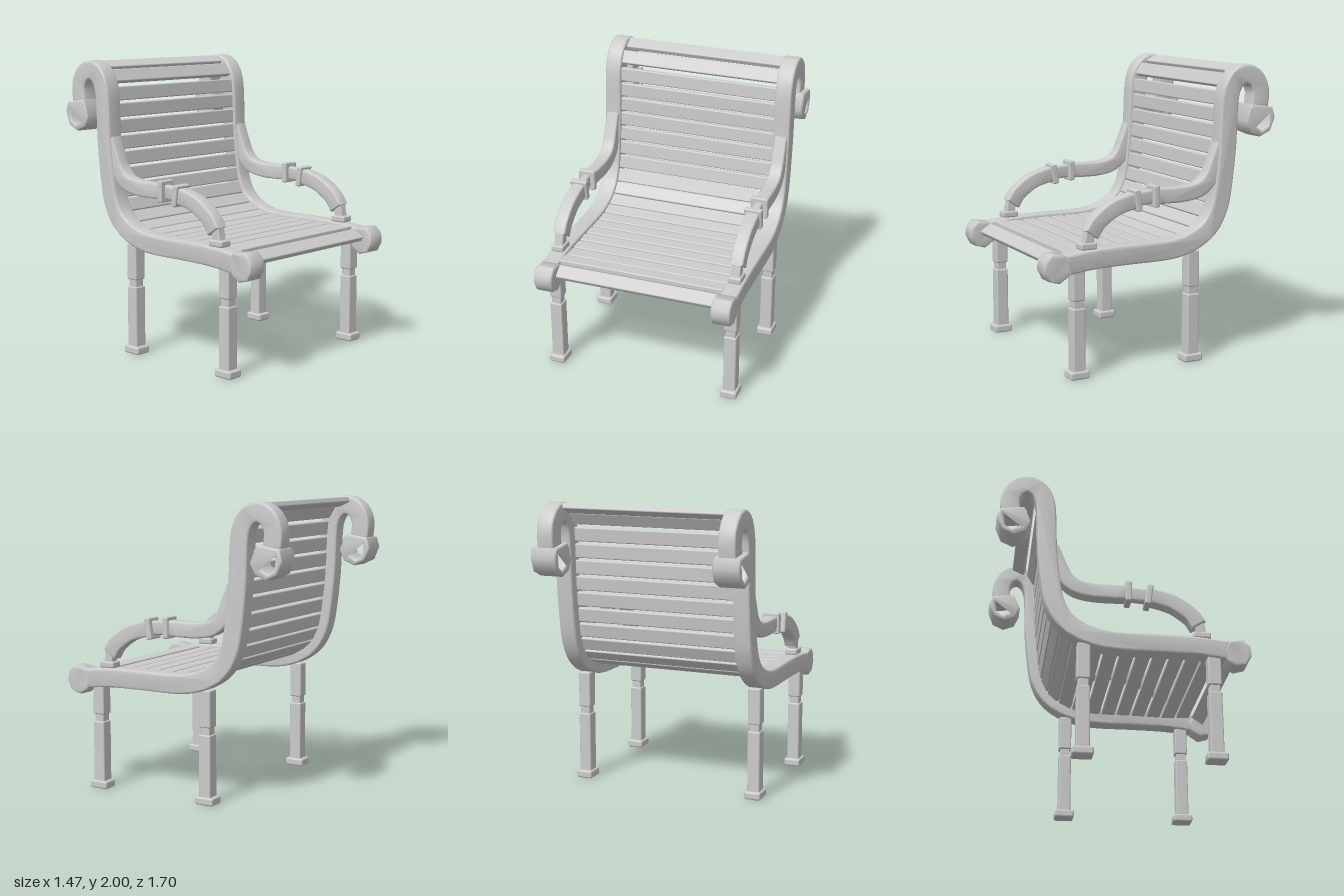
import * as THREE from 'three';
import { toCreasedNormals } from 'three/addons/utils/BufferGeometryUtils.js';
import { RoundedBoxGeometry } from 'three/addons/geometries/RoundedBoxGeometry.js';

const material = new THREE.MeshStandardMaterial({ color: 0xcccccc });
const SIDE_X = 0.636; // centre of each side frame

// Side profiles are written as [z, y] pairs.
const toVectors = (pairs) => pairs.map(([z, y]) => new THREE.Vector2(z, y));

// Extrudes a side-profile shape across x, centred, with rounded edges.
function extrudeAcross(shape, width, bevel, crease) {
  const geo = new THREE.ExtrudeGeometry(shape, {
    depth: width - 2 * bevel, steps: 1, curveSegments: 6,
    bevelSize: bevel, bevelThickness: bevel, bevelOffset: -bevel, bevelSegments: 3,
  });
  geo.translate(0, 0, bevel - width / 2);
  geo.rotateY(-Math.PI / 2);
  return toCreasedNormals(geo, crease);
}

// A bar of even thickness that follows a smooth path in the side plane.
function bentBar(pairs, thickness, width, divisions) {
  const curve = new THREE.SplineCurve(toVectors(pairs));
  const upper = [], lower = [];
  for (let i = 0; i <= divisions; i++) {
    const p = curve.getPointAt(i / divisions);
    const t = curve.getTangentAt(i / divisions);
    const n = new THREE.Vector2(t.y, -t.x).multiplyScalar(thickness / 2);
    upper.push(p.clone().add(n));
    lower.unshift(p.clone().sub(n));
  }
  return extrudeAcross(new THREE.Shape([...upper, ...lower]), width, 0.014, 0.6);
}

// A faceted ring with a hole, used for the scroll ends.
function scroll(outer, hole, width) {
  const shape = new THREE.Shape(toVectors(outer));
  shape.holes.push(new THREE.Path(toVectors(hole)));
  return extrudeAcross(shape, width, 0.015, 0.95);
}

function block(w, h, d, r) {
  return new RoundedBoxGeometry(w, h, d, 2, r);
}

function addPart(parent, name, geometry, x, y, z, tilt = 0) {
  const mesh = new THREE.Mesh(geometry, material);
  mesh.name = name;
  mesh.position.set(x, y, z);
  mesh.rotation.x = tilt;
  parent.add(mesh);
}

const railPath = [
  [0.69, 0.765], [0.5, 0.785], [0.25, 0.79], [0, 0.79], [-0.14, 0.803], [-0.27, 0.845],
  [-0.38, 0.925], [-0.445, 1.04], [-0.476, 1.18], [-0.505, 1.445], [-0.516, 1.71],
  [-0.53, 1.82], [-0.572, 1.9], [-0.645, 1.935], [-0.722, 1.902], [-0.762, 1.82], [-0.755, 1.71],
];

function buildSideGeometries() {
  return {
    rail: bentBar(railPath, 0.13, 0.118, 90),
    frontScroll: scroll(
      [[0.795, 0.847], [0.704, 0.832], [0.661, 0.773], [0.677, 0.693],
        [0.741, 0.651], [0.815, 0.672], [0.848, 0.736], [0.842, 0.8]],
      [[0.8, 0.8], [0.72, 0.805], [0.7, 0.745], [0.73, 0.693], [0.79, 0.688], [0.82, 0.745]], 0.135),
    backScroll: scroll(
      [[-0.667, 1.733], [-0.83, 1.71], [-0.852, 1.64], [-0.815, 1.55],
        [-0.735, 1.513], [-0.656, 1.545], [-0.619, 1.62]],
      [[-0.667, 1.688], [-0.805, 1.668], [-0.795, 1.587], [-0.75, 1.556], [-0.682, 1.592]], 0.188),
    armFront: bentBar([[0.505, 0.945], [0.455, 1.02], [0.35, 1.095], [0.255, 1.128], [0.165, 1.147]], 0.108, 0.092, 18),
    armNeck: bentBar([[0.175, 1.146], [0.1, 1.153], [0.03, 1.158]], 0.095, 0.055, 4),
    armBack: bentBar([[0.04, 1.158], [-0.08, 1.155], [-0.2, 1.158], [-0.31, 1.183],
      [-0.385, 1.25], [-0.432, 1.35], [-0.48, 1.47]], 0.104, 0.092, 30),
    collar: block(0.122, 0.145, 0.042, 0.01),
    armPost: block(0.062, 0.1, 0.066, 0.01),
    armBase: block(0.09, 0.045, 0.116, 0.012),
    foot: block(0.116, 0.055, 0.137, 0.014),
    legShaft: block(0.088, 0.43, 0.088, 0.01),
    legNeck: block(0.07, 0.1, 0.07, 0.008),
    legTop: block(0.088, 0.25, 0.088, 0.01),
  };
}

function buildLeg(name, g, x, z) {
  const leg = new THREE.Group();
  leg.name = name;
  addPart(leg, 'foot', g.foot, 0, 0.0275, 0);
  addPart(leg, 'legShaft', g.legShaft, 0, 0.257, 0);
  addPart(leg, 'legNeck', g.legNeck, 0, 0.495, 0);
  addPart(leg, 'legTop', g.legTop, 0, 0.645, 0);
  leg.position.set(x, 0, z);
  return leg;
}

function buildSide(name, g, sign) {
  const side = new THREE.Group();
  side.name = name;
  const x = sign * SIDE_X;
  addPart(side, 'sideRail', g.rail, x, 0, 0);
  addPart(side, 'frontScroll', g.frontScroll, sign * 0.627, 0, 0);
  addPart(side, 'backScroll', g.backScroll, sign * 0.639, 0, 0);

  // Armrest: two bent bars joined by a collared neck, on a short post.
  const arm = new THREE.Group();
  arm.name = 'armrest';
  addPart(arm, 'armFront', g.armFront, x, 0, 0);
  addPart(arm, 'armNeck', g.armNeck, x, 0, 0);
  addPart(arm, 'armBack', g.armBack, x, 0, 0);
  addPart(arm, 'frontCollar', g.collar, x, 1.144, 0.175, 0.15);
  addPart(arm, 'backCollar', g.collar, x, 1.16, 0.038, 0);
  addPart(arm, 'armPost', g.armPost, x, 0.92, 0.517, -0.2);
  addPart(arm, 'armBase', g.armBase, x, 0.872, 0.527);
  side.add(arm);

  side.add(buildLeg('frontLeg', g, x, 0.6), buildLeg('backLeg', g, x, -0.255));
  return side;
}

// Slats are spaced evenly along the rail, just inside its upper face.
function buildSlats() {
  const slats = new THREE.Group();
  slats.name = 'slats';
  const path = [[0.72, 0.763], [0.64, 0.792], ...railPath.slice(1, 14)];
  const curve = new THREE.SplineCurve(toVectors(path));
  const geo = block(1.17, 0.04, 0.097, 0.009);
  const count = 21;
  for (let i = 0; i < count; i++) {
    const u = i / (count - 1);
    const p = curve.getPointAt(u);
    const t = curve.getTangentAt(u);
    const tilt = i === 0 ? 0.6 : Math.atan2(t.y, -t.x);
    addPart(slats, 'slat', geo, 0, p.y - t.x * 0.025, p.x + t.y * 0.025, tilt);
  }
  return slats;
}

export function createModel() {
  const chair = new THREE.Group();
  chair.name = 'slattedArmchair';
  const g = buildSideGeometries();
  chair.add(buildSide('leftSide', g, 1), buildSide('rightSide', g, -1), buildSlats());
  return chair;
}
